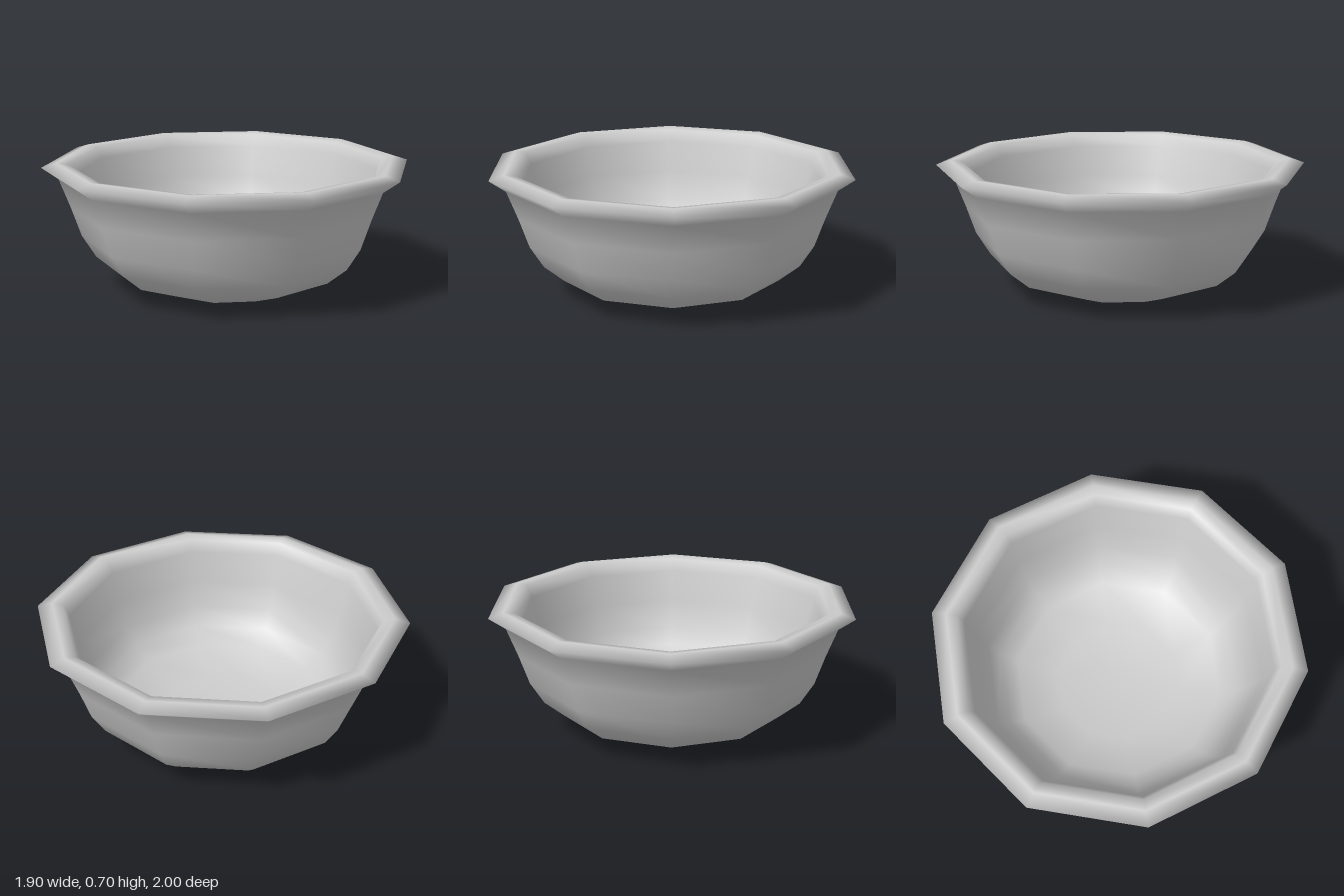
import * as THREE from 'three';

export function createModel() {
  const group = new THREE.Group();
  group.name = 'bowl';

  // Closed wall section [radius, height]: up the outside, over the rim, down the inside
  const profile = [
    [0, 0], [0.36, 0], [0.61, 0.09], [0.72, 0.18], [0.795, 0.30], [0.85, 0.46], [0.91, 0.615],
    [1, 0.68], [0.92, 0.705], [0.86, 0.695], [0.83, 0.63],
    [0.785, 0.46], [0.735, 0.31], [0.67, 0.21], [0.58, 0.135], [0.35, 0.05], [0, 0.05],
  ].map(([r, y]) => new THREE.Vector2(r, y));

  // Ten-sided smooth-shaded shell with a corner facing the front
  const shell = new THREE.Mesh(
    new THREE.LatheGeometry(profile, 10),
    new THREE.MeshStandardMaterial({ color: 0xcccccc }),
  );
  shell.name = 'bowlShell';
  group.add(shell);

  return group;
}
